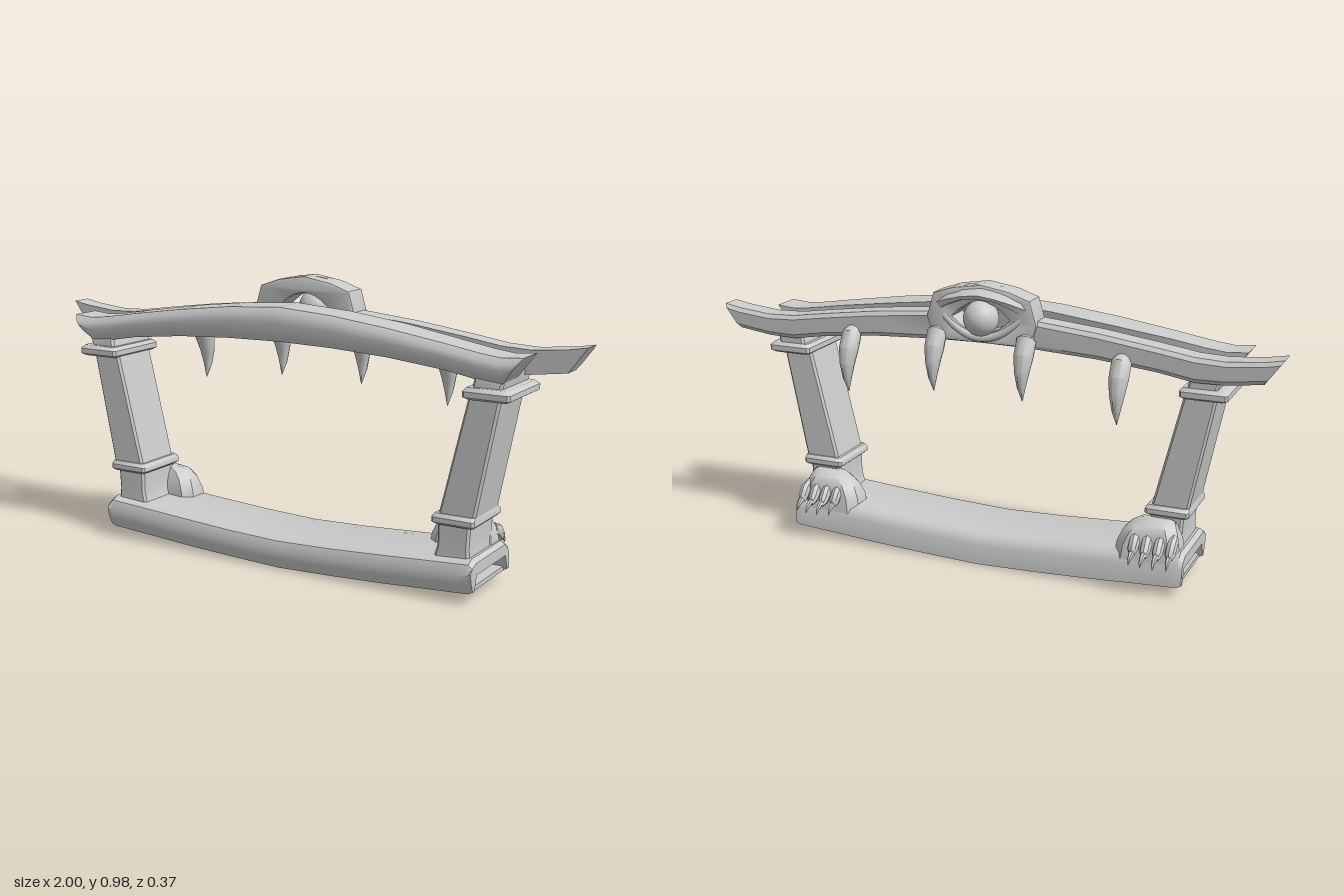
import * as THREE from 'three';
import { toCreasedNormals } from 'three/addons/utils/BufferGeometryUtils.js';

const material = new THREE.MeshStandardMaterial({ color: 0xcccccc });

// Closed, capped solid through rings of [x, y, z]; turns itself outward
function loft(rings) {
  const tris = [], n = rings[0].length, last = rings.length - 1;
  for (let i = 0; i < last; i++)
    for (let j = 0; j < n; j++) {
      const k = (j + 1) % n;
      const a = rings[i][j], b = rings[i][k], c = rings[i + 1][k], d = rings[i + 1][j];
      tris.push([a, b, c], [a, c, d]);
    }
  const mean = (r, k) => r.reduce((s, p) => s + p[k], 0) / n;
  const cap = (ring, next, flip) => {
    const d = [0, 1, 2].map(k => Math.abs(mean(ring, k) - mean(next, k)));
    const drop = d.indexOf(Math.max(...d));
    const [u, v] = [0, 1, 2].filter(k => k !== drop);
    const flat = ring.map(p => new THREE.Vector2(p[u], p[v]));
    for (const f of THREE.ShapeUtils.triangulateShape(flat, [])) {
      const t = [...f].sort((p, q) => p - q).map(i => ring[i]);
      tris.push(flip ? t.reverse() : t);
    }
  };
  cap(rings[0], rings[1], true);
  cap(rings[last], rings[last - 1], false);
  const volume = tris.reduce((s, [a, b, c]) => s
    + a[0] * (b[1] * c[2] - b[2] * c[1])
    + a[1] * (b[2] * c[0] - b[0] * c[2])
    + a[2] * (b[0] * c[1] - b[1] * c[0]), 0);
  if (volume < 0) tris.forEach(t => t.reverse());
  const g = new THREE.BufferGeometry();
  g.setAttribute('position', new THREE.Float32BufferAttribute(tris.flat(2), 3));
  return toCreasedNormals(g, 0.65);
}

// Mirrors stations [x, bottom, top, extra] and lofts section(bottom, top, extra) -> [z, y] along x.
// The end faces lean outward at the top by the given slope.
function beam(stations, section, slope = 0) {
  const all = [...stations.slice(1).reverse().map(([x, ...r]) => [-x, ...r]), ...stations];
  return loft(all.map(([x, b, t, e], i) => {
    const lean = i === 0 ? -slope : i === all.length - 1 ? slope : 0;
    return section(b, t, e).map(([z, y]) => [x - (t - y) * lean, y, z]);
  }));
}

// Chamfered upright block through rows [y, x0, x1, z0, z1]
function upright(rows, side, c = 0.008) {
  return loft(rows.map(([y, x0, x1, z0, z1]) => [
    [x0 + c, z0], [x1 - c, z0], [x1, z0 + c], [x1, z1 - c],
    [x1 - c, z1], [x0 + c, z1], [x0, z1 - c], [x0, z0 + c],
  ].map(([x, z]) => [side * x, y, z])));
}

// Tapered curved horn in a plane of constant x: path of [z, y], one [width, depth] pair per point
function horn(x, path, radii, sides = 10) {
  return loft(path.map((p, i) => {
    const a = path[Math.max(i - 1, 0)], b = path[Math.min(i + 1, path.length - 1)];
    const len = Math.hypot(b[0] - a[0], b[1] - a[1]);
    const nz = -(b[1] - a[1]) / len, ny = (b[0] - a[0]) / len;
    return Array.from({ length: sides }, (_, k) => {
      const t = k / sides * Math.PI * 2, s = Math.sin(t) * radii[i][1];
      return [x + Math.cos(t) * radii[i][0], p[1] + ny * s, p[0] + nz * s];
    });
  }));
}

export function createModel() {
  const group = new THREE.Group();
  const add = (name, geometry) => {
    const mesh = new THREE.Mesh(geometry, material);
    mesh.name = name;
    group.add(mesh);
    return mesh;
  };

  // Bowed base, hollow underneath
  add('base', beam(
    [[0, 0.005, 0.113], [0.2, 0.012, 0.12], [0.4, 0.022, 0.132], [0.55, 0.032, 0.142], [0.68, 0.04, 0.15], [0.705, 0.042, 0.152], [0.72, 0.05, 0.14]],
    (b, t) => [[0.163, b], [0.178, b + 0.035], [0.184, b + 0.065], [0.17, t - 0.012], [0.145, t], [-0.085, t],
      [-0.108, t - 0.015], [-0.12, t - 0.04], [-0.123, b], [-0.108, b], [-0.09, t - 0.04], [0.135, t - 0.04], [0.15, b]]));

  // Twin top beams joined by a thin floor
  add('frontBeam', beam(
    [[0, 0.78, 0.895, 0.03], [0.2, 0.776, 0.882, 0.03], [0.4, 0.765, 0.858, 0.03], [0.6, 0.744, 0.828, 0.046], [0.72, 0.723, 0.808, 0.05], [0.79, 0.716, 0.8, 0.05], [0.86, 0.73, 0.806, 0.05]],
    (b, t, z) => [[z, t], [0.05, b], [0.15, b], [0.167, b + 0.02], [0.176, b * 0.45 + t * 0.55], [0.172, t - 0.018], [0.155, t]], 0.75));
  add('backBeam', beam(
    [[0, 0.78, 0.815], [0.17, 0.777, 0.815], [0.19, 0.776, 0.872], [0.4, 0.765, 0.852], [0.6, 0.744, 0.825], [0.72, 0.724, 0.807], [0.82, 0.726, 0.803], [0.94, 0.742, 0.815], [1.0, 0.745, 0.826]],
    (b, t) => [[-0.005, t], [-0.005, b], [-0.07, b], [-0.084, b + 0.015], [-0.086, t - 0.014], [-0.075, t]], 0.72));
  add('beamFloor', beam(
    [[0, 0.778, 0.792], [0.2, 0.774, 0.788], [0.4, 0.763, 0.777], [0.6, 0.742, 0.756], [0.72, 0.721, 0.735]],
    (b, t) => [[-0.02, b], [0.07, b], [0.07, t], [-0.02, t]]));

  // Crest with an almond opening
  const crest = new THREE.Shape([[-0.17, 0.79], [0.17, 0.79], [0.19, 0.86], [0.168, 0.935], [0.1, 0.958], [0, 0.974],
    [-0.1, 0.958], [-0.168, 0.935], [-0.19, 0.86]].map(p => new THREE.Vector2(...p)));
  const opening = new THREE.Path();
  opening.moveTo(-0.11, 0.868);
  opening.quadraticCurveTo(0, 0.99, 0.11, 0.868);
  opening.quadraticCurveTo(0, 0.755, -0.11, 0.868);
  crest.holes.push(opening);
  const crestGeometry = new THREE.ExtrudeGeometry(crest,
    { depth: 0.075, bevelSize: 0.006, bevelThickness: 0.008, bevelSegments: 2, curveSegments: 10 });
  crestGeometry.translate(0, 0, -0.086);
  add('crest', toCreasedNormals(crestGeometry, 0.6));

  // Jutting brow, lower lid and eye
  add('brow', beam(
    [[0, 0.93, 0.98, -0.125], [0.06, 0.925, 0.972, -0.122], [0.12, 0.9, 0.955, -0.11], [0.17, 0.87, 0.935, -0.09]],
    (b, t, z) => [[-0.05, t], [-0.075, t], [z, t - 0.03], [z + 0.006, b + 0.006], [-0.07, b]]));
  const lid = new THREE.QuadraticBezierCurve3(new THREE.Vector3(-0.14, 0.875, -0.082),
    new THREE.Vector3(0, 0.73, -0.11), new THREE.Vector3(0.14, 0.875, -0.082));
  add('lowerLid', new THREE.TubeGeometry(lid, 20, 0.013, 8));
  add('eye', new THREE.SphereGeometry(0.06, 24, 16)).position.set(0, 0.868, -0.088);

  for (const side of [-1, 1]) {
    // Curved fangs, the outer ones hanging lower
    for (const [x, dy] of [[0.16, 0.04], [0.485, 0]])
      add('fang', horn(side * x,
        [[-0.062, 0.785 + dy * 0.6], [-0.088, 0.765 + dy], [-0.112, 0.72 + dy], [-0.126, 0.67 + dy], [-0.128, 0.62 + dy], [-0.119, 0.57 + dy]],
        [[0.024, 0.022], [0.034, 0.034], [0.034, 0.034], [0.026, 0.026], [0.015, 0.016], [0.001, 0.001]]));

    // Leaning column with collars, pedestal and the block under the beams
    add('column', upright([[0.27, 0.583, 0.71, -0.038, 0.147], [0.68, 0.682, 0.79, -0.038, 0.149]], side));
    add('columnTop', upright([[0.69, 0.692, 0.79, -0.06, 0.155], [0.735, 0.7, 0.8, -0.06, 0.155], [0.772, 0.72, 0.8, -0.02, 0.13]], side));
    add('upperCollar', upright([[0.664, 0.682, 0.814, -0.06, 0.168], [0.672, 0.67, 0.828, -0.072, 0.18],
      [0.69, 0.67, 0.828, -0.072, 0.18], [0.702, 0.68, 0.815, -0.06, 0.168]], side));
    add('lowerCollar', upright([[0.25, 0.577, 0.708, -0.044, 0.152], [0.258, 0.567, 0.716, -0.054, 0.162],
      [0.274, 0.567, 0.716, -0.054, 0.162], [0.286, 0.576, 0.712, -0.044, 0.152]], side));
    add('pedestal', upright([[0.1, 0.56, 0.7, -0.04, 0.148], [0.15, 0.575, 0.695, -0.04, 0.146],
      [0.18, 0.583, 0.692, -0.04, 0.145], [0.255, 0.583, 0.696, -0.04, 0.145]], side));
    add('baseEndPlate', new THREE.BoxGeometry(0.105, 0.015, 0.27)).position.set(side * 0.655, 0.05, 0.025);

    // Paw with four clawed toes
    add('paw', upright([[0.11, 0.48, 0.7, -0.118, 0.01], [0.16, 0.486, 0.698, -0.113, 0.01], [0.2, 0.503, 0.69, -0.105, 0],
      [0.225, 0.525, 0.68, -0.093, -0.01], [0.243, 0.56, 0.67, -0.06, -0.02]], side, 0.03));
    for (let i = 0; i < 4; i++) {
      const x = side * (0.555 + i * 0.042), reach = i % 3 ? 0 : 0.012;
      add('toe', horn(x, [[-0.075, 0.19], [-0.108, 0.178], [-0.13, 0.155], [-0.148 + reach, 0.14]],
        [[0.014, 0.02], [0.018, 0.022], [0.018, 0.018], [0.01, 0.01]], 8));
      add('claw', horn(x, [[-0.135 + reach, 0.152], [-0.16 + reach, 0.145], [-0.177 + reach, 0.133], [-0.186 + reach, 0.118]],
        [[0.01, 0.01], [0.009, 0.009], [0.006, 0.006], [0.001, 0.001]], 6));
    }
  }
  return group;
}
